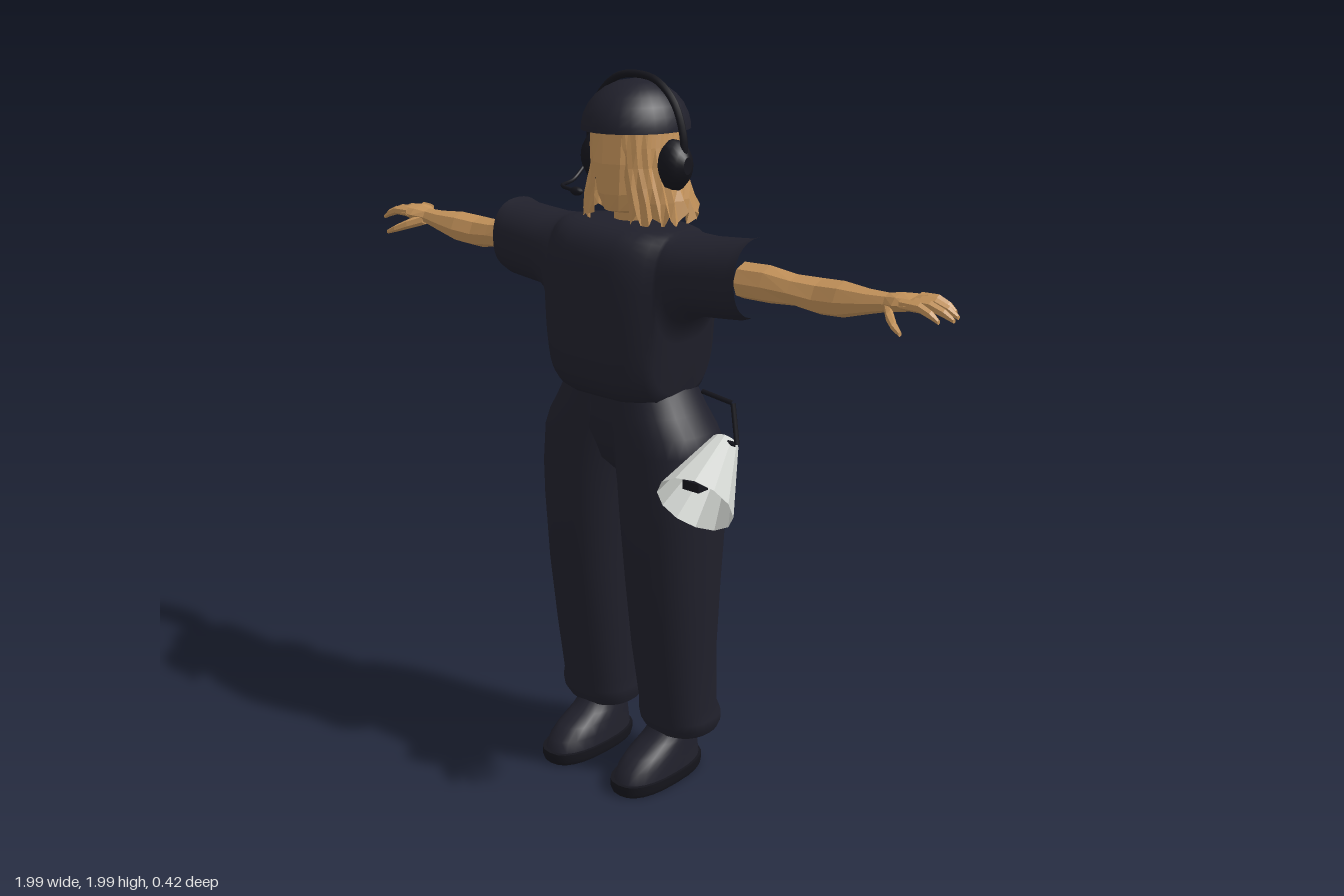
import * as THREE from 'three';

const V = (x, y, z) => new THREE.Vector3(x, y, z);

// Skin through rings [t, a0, a1, b0, b1, p]: superellipses spanning a0..a1 and b0..b1.
// axis 'y': a = z, b = x.  axis 'x': a = y, b = z.
function loft(axis, rings, n = 24, capStart = true, capEnd = true) {
  const pos = [], idx = [];
  const put = (t, a, b) => (axis === 'y' ? pos.push(b, t, a) : pos.push(t, a, b));
  const pow = (v, p) => Math.sign(v) * Math.abs(v) ** (2 / p);
  for (const [t, a0, a1, b0, b1, p = 2] of rings) {
    for (let j = 0; j < n; j++) {
      const q = (j / n) * Math.PI * 2;
      put(t, (a0 + a1) / 2 + ((a1 - a0) / 2) * pow(Math.cos(q), p),
        (b0 + b1) / 2 + ((b1 - b0) / 2) * pow(Math.sin(q), p));
    }
  }
  const last = rings.length - 1;
  for (let i = 0; i < last; i++) {
    for (let j = 0; j < n; j++) {
      const k = (j + 1) % n, a = i * n + j, b = i * n + k;
      idx.push(a, b, b + n, a, b + n, a + n);
    }
  }
  // separate cap vertices keep the rims sharp
  const cap = (i, up) => {
    const [t, a0, a1, b0, b1] = rings[i], base = pos.length / 3;
    for (let j = 0; j < n * 3; j++) pos.push(pos[i * n * 3 + j]);
    put(t, (a0 + a1) / 2, (b0 + b1) / 2);
    for (let j = 0; j < n; j++) {
      const a = base + j, b = base + ((j + 1) % n);
      if (up) idx.push(a, b, base + n); else idx.push(b, a, base + n);
    }
  };
  if (capStart) cap(0, false);
  if (capEnd) cap(last, true);
  const g = new THREE.BufferGeometry();
  g.setAttribute('position', new THREE.Float32BufferAttribute(pos, 3));
  g.setIndex(idx);
  g.computeVertexNormals();
  return g;
}

const faceted = (g) => {
  const f = g.index ? g.toNonIndexed() : g;
  f.computeVertexNormals();
  return f;
};

// Copy of a geometry reflected to the other side, with corner order restored
function mirrored(g) {
  const m = (g.index ? g.toNonIndexed() : g.clone()).scale(-1, 1, 1);
  for (const name of ['position', 'normal']) {
    const a = m.attributes[name].array;
    for (let i = 0; i < a.length; i += 9) {
      for (let k = 0; k < 3; k++) [a[i + 3 + k], a[i + 6 + k]] = [a[i + 6 + k], a[i + 3 + k]];
    }
  }
  return m;
}

export function createModel() {
  const model = new THREE.Group();
  const mat = (name, color, side = THREE.FrontSide) =>
    Object.assign(new THREE.MeshStandardMaterial({ color, side }), { name });
  const cloth = mat('dark cloth', 0x20202b);
  const gear = mat('black gear', 0x15151c);
  const skin = mat('tan', 0xc3925a, THREE.DoubleSide);
  const shell = mat('pale grey', 0xd0d3cf, THREE.DoubleSide);

  const add = (name, geo, material, parent = model) => {
    const m = new THREE.Mesh(geo, material);
    m.name = name;
    parent.add(m);
    return m;
  };
  const pair = (name, geo, material) => {
    add(name + 'Left', geo, material);
    add(name + 'Right', mirrored(geo), material);
  };
  const bar = (name, a, b, r0, r1, sides, material) => {
    const m = add(name, new THREE.CylinderGeometry(r1, r0, a.distanceTo(b), sides, 1, true), material);
    m.position.copy(a).lerp(b, 0.5);
    m.quaternion.setFromUnitVectors(V(0, 1, 0), b.clone().sub(a).normalize());
    return m;
  };
  const tube = (name, pts, r, material) =>
    add(name, new THREE.TubeGeometry(new THREE.CatmullRomCurve3(pts), 32, r, 8), material);

  // Shirt: one hollow skin running from sleeve to sleeve
  const half = [
    [0, 1.125, 1.605, -0.155, 0.19, 4], [0.08, 1.125, 1.605, -0.153, 0.188, 4],
    [0.13, 1.13, 1.602, -0.147, 0.178, 3.8], [0.17, 1.135, 1.6, -0.13, 0.155, 3.4],
    [0.19, 1.16, 1.597, -0.118, 0.14, 3], [0.2, 1.3, 1.595, -0.115, 0.135, 2.6],
    [0.22, 1.36, 1.592, -0.112, 0.13, 2.4], [0.27, 1.385, 1.59, -0.108, 0.122, 2.3],
    [0.34, 1.39, 1.595, -0.105, 0.115, 2.3], [0.4, 1.395, 1.6, -0.103, 0.11, 2.3],
    [0.43, 1.405, 1.61, -0.1, 0.105, 2.3],
  ];
  const other = half.slice(1).reverse().map(([x, ...r]) => [-x, ...r]);
  add('shirt', loft('x', [...other, ...half], 40, false, false), cloth);

  // Trousers
  pair('trouserLeg', loft('y', [
    [0.14, -0.14, 0.05, 0.045, 0.255, 2.3], [0.165, -0.145, 0.065, 0.036, 0.268, 2.3],
    [0.19, -0.143, 0.07, 0.034, 0.27, 2.3], [0.22, -0.133, 0.072, 0.04, 0.26, 2.3],
    [0.4, -0.127, 0.1, 0.03, 0.265, 2.3], [0.6, -0.138, 0.125, 0.022, 0.273, 2.3],
    [0.8, -0.155, 0.14, 0.008, 0.28, 2.3], [0.9, -0.16, 0.143, 0, 0.282, 2.3],
    [1.0, -0.155, 0.143, -0.02, 0.278, 2.2], [1.05, -0.145, 0.14, -0.03, 0.258, 2.2],
    [1.1, -0.132, 0.135, -0.04, 0.226, 2.2], [1.17, -0.115, 0.125, -0.05, 0.188, 2.2],
  ], 28), cloth);
  add('pelvis', loft('y', [
    [0.89, -0.05, 0.04, -0.05, 0.05], [0.95, -0.115, 0.1, -0.13, 0.13],
    [1.04, -0.13, 0.13, -0.2, 0.2], [1.17, -0.115, 0.125, -0.16, 0.16],
  ], 28), cloth);

  // Shoes
  pair('sole', loft('y', [
    [0, -0.115, 0.205, 0.06, 0.212, 2.5], [0.012, -0.118, 0.21, 0.055, 0.217, 2.5],
    [0.035, -0.118, 0.21, 0.055, 0.217, 2.5],
  ], 24), gear);
  pair('shoe', loft('y', [
    [0.035, -0.112, 0.2, 0.062, 0.21, 2.4], [0.065, -0.11, 0.188, 0.065, 0.207, 2.3],
    [0.095, -0.107, 0.15, 0.069, 0.203, 2.2], [0.12, -0.104, 0.095, 0.074, 0.2, 2.1],
    [0.15, -0.1, 0.05, 0.08, 0.198], [0.19, -0.09, 0.035, 0.085, 0.195],
  ], 24), cloth);

  // Bare arms and hands
  pair('arm', faceted(loft('x', [
    [0.38, 1.445, 1.54, -0.05, 0.045], [0.46, 1.445, 1.542, -0.052, 0.042],
    [0.54, 1.45, 1.53, -0.058, 0.036], [0.61, 1.438, 1.53, -0.07, 0.032],
    [0.68, 1.444, 1.535, -0.06, 0.04], [0.76, 1.468, 1.53, -0.035, 0.035],
    [0.815, 1.483, 1.53, -0.025, 0.03], [0.85, 1.488, 1.536, -0.048, 0.048],
    [0.89, 1.497, 1.535, -0.06, 0.05],
  ], 8, false, true)), skin);
  [[-0.05, -0.068, 0.955], [-0.021, -0.028, 0.985], [0.008, 0.008, 0.995], [0.036, 0.042, 0.975]]
    .forEach(([z0, z1, tip], i) => {
      const ring = (k, y, r) => {
        const z = z0 + (z1 - z0) * k;
        return [0.87 + (tip - 0.87) * k, y - r, y + r, z - r, z + r];
      };
      pair('finger' + (i + 1), faceted(loft('x',
        [ring(0, 1.517, 0.014), ring(0.5, 1.517, 0.013), ring(0.8, 1.505, 0.011), ring(1, 1.492, 0.006)], 6)), skin);
    });
  pair('thumb', faceted(loft('x', [
    [0.82, 1.483, 1.515, 0, 0.032], [0.85, 1.472, 1.502, 0.035, 0.068],
    [0.88, 1.462, 1.484, 0.066, 0.09], [0.905, 1.455, 1.468, 0.084, 0.097],
  ], 6)), skin);

  // Head and neck
  add('head', faceted(loft('y', [
    [1.585, -0.06, 0.045, -0.055, 0.055], [1.625, -0.07, 0.05, -0.055, 0.055],
    [1.635, -0.08, 0.092, -0.05, 0.05], [1.68, -0.11, 0.108, -0.075, 0.075],
    [1.76, -0.13, 0.116, -0.095, 0.095], [1.85, -0.13, 0.112, -0.1, 0.1],
  ], 12)), skin);

  // Hair: a pleated curtain with a ragged hem, open over the face
  const rows = [[1.86, 0.104, 0.14], [1.8, 0.11, 0.148], [1.75, 0.114, 0.15],
    [1.7, 0.13, 0.17], [1.66, 0.142, 0.178], [1.605, 0.152, 0.203]];
  const cols = 44, hp = [], hi = [];
  rows.forEach(([y, rx, back], i) => {
    for (let j = 0; j <= cols; j++) {
      const q = 0.45 + (j / cols) * (Math.PI * 2 - 0.9), c = Math.cos(q);
      const fold = 1 + (i / 5) * 0.045 * (j % 2 ? 1 : -1) + 0.02 * Math.sin(j * 2.3 + i * 1.7);
      const rag = i === 5 ? 0.018 * Math.sin(j * 1.9) + 0.01 * (j % 2) : 0;
      hp.push(Math.sin(q) * rx * fold, y + rag, c * (c > 0 ? 0.11 - 0.004 * i : back) * fold);
      if (i && j) {
        const a = i * (cols + 1) + j, b = a - cols - 1;
        hi.push(a - 1, a, b, a - 1, b, b - 1);
      }
    }
  });
  const hair = new THREE.BufferGeometry();
  hair.setAttribute('position', new THREE.Float32BufferAttribute(hp, 3));
  hair.setIndex(hi);
  add('hair', faceted(hair), skin);

  // Helmet
  add('helmet', loft('y', [0, 0.12, 0.3, 0.5, 0.68, 0.83, 0.94, 1].map((k) => {
    const r = Math.max(Math.sqrt(1 - k * k), 0.02);
    return [1.84 + 0.128 * k, -0.015 - 0.152 * r, -0.015 + 0.152 * r, -0.14 * r, 0.14 * r];
  }), 28), cloth);

  // Headset
  tube('headband', [V(-0.165, 1.76, -0.015), V(-0.163, 1.83, -0.015), V(-0.13, 1.915, -0.015),
    V(-0.07, 1.966, -0.015), V(0, 1.978, -0.015), V(0.07, 1.966, -0.015), V(0.13, 1.915, -0.015),
    V(0.163, 1.83, -0.015), V(0.165, 1.76, -0.015)], 0.01, gear);
  pair('earCup', loft('x', [
    [0.112, 1.7, 1.81, -0.057, 0.027], [0.125, 1.69, 1.822, -0.065, 0.035],
    [0.15, 1.692, 1.82, -0.063, 0.033], [0.168, 1.71, 1.8, -0.05, 0.02], [0.18, 1.735, 1.78, -0.03, 0.002],
  ], 20), gear);
  tube('micBoom', [V(-0.168, 1.73, 0), V(-0.165, 1.695, 0.05), V(-0.14, 1.69, 0.12), V(-0.05, 1.692, 0.168)], 0.005, gear);
  add('microphone', new THREE.SphereGeometry(0.013, 12, 8).scale(1.6, 0.9, 0.9), gear).position.set(-0.04, 1.692, 0.17);

  // Loudhailer hanging at the left hip
  const narrow = V(0.31, 1.035, -0.025), wide = V(0.352, 0.92, 0.148);
  const horn = bar('loudhailerHorn', narrow, wide, 0.038, 0.107, 12, shell);
  horn.geometry = faceted(horn.geometry);
  const back = add('loudhailerBack', new THREE.CircleGeometry(0.038, 12), shell);
  back.position.copy(narrow);
  back.lookAt(narrow.clone().multiplyScalar(2).sub(wide));
  add('loudhailerSpeaker', new THREE.BoxGeometry(0.055, 0.025, 0.04), gear).position.set(0.3, 0.945, 0.085);
  const hook = [V(0.32, 1.05, 0), V(0.37, 1.05, 0), V(0.342, 1.155, -0.015), V(0.235, 1.165, -0.02)];
  for (let i = 0; i < 3; i++) bar('loudhailerHook' + (i + 1), hook[i], hook[i + 1], 0.007, 0.007, 8, gear);
  add('hipPouch', new THREE.BoxGeometry(0.04, 0.1, 0.045), gear).position.set(0.285, 0.89, -0.015);

  return model;
}
